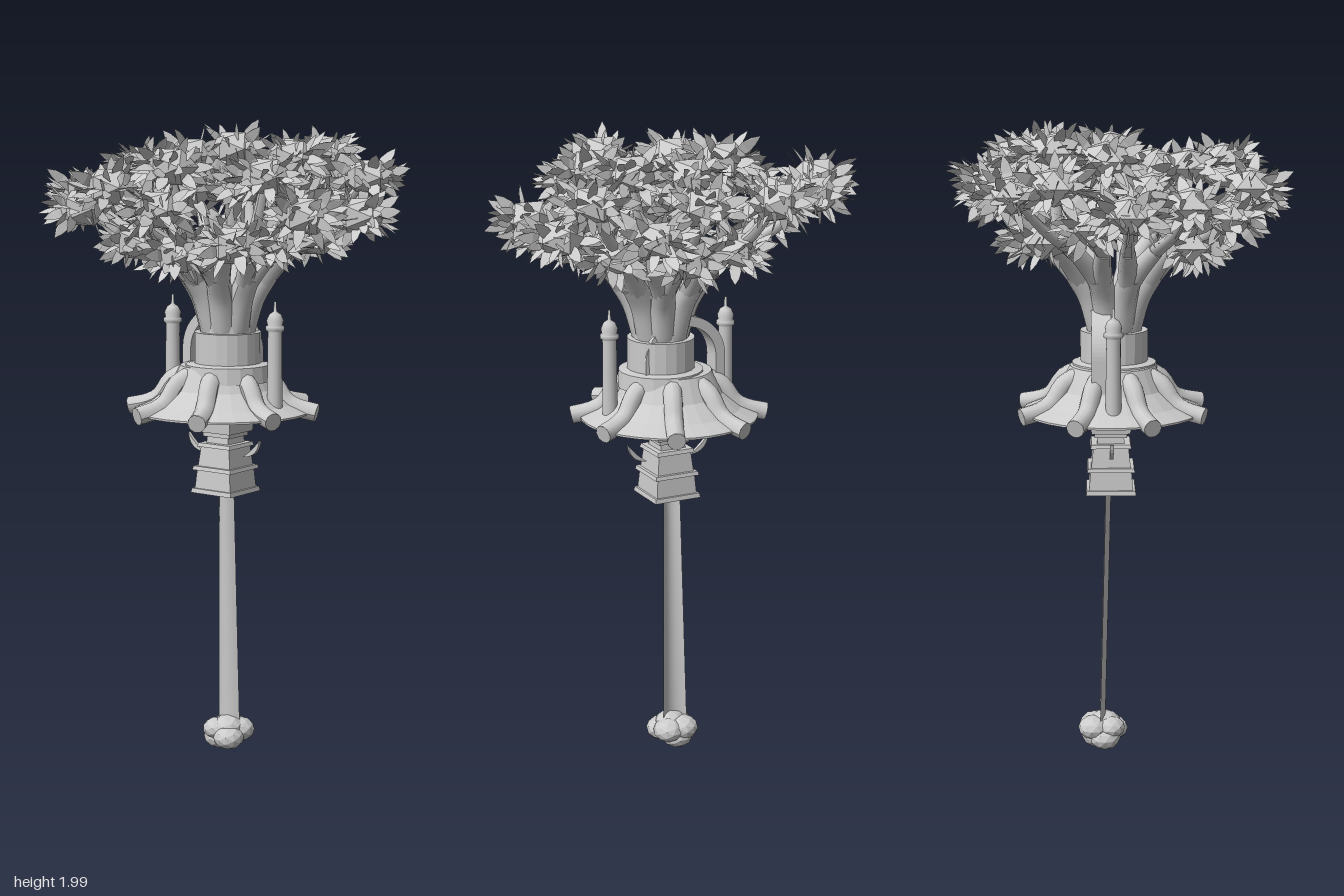
import * as THREE from 'three';
import { mergeGeometries } from 'three/addons/utils/BufferGeometryUtils.js';

const V = (x, y, z) => new THREE.Vector3(x, y, z);
const smooth = new THREE.MeshStandardMaterial({ color: 0xcccccc, side: THREE.DoubleSide });
const flat = new THREE.MeshStandardMaterial({ color: 0xcccccc, side: THREE.DoubleSide, flatShading: true });

let seed = 7;
const rand = (a, b) => {
  seed = (seed * 16807) % 2147483647;
  return a + (b - a) * seed / 2147483647;
};

function add(parent, name, geometry, material, x = 0, y = 0, z = 0) {
  const mesh = new THREE.Mesh(geometry, material);
  mesh.name = name;
  mesh.position.set(x, y, z);
  parent.add(mesh);
  return mesh;
}

// Tube along points whose radius runs from r0 to r1, with a closed far end
function taperedTube(points, r0, r1, segments = 10, sides = 10) {
  const curve = new THREE.CatmullRomCurve3(points);
  const tube = new THREE.TubeGeometry(curve, segments, 1, sides);
  const pos = tube.attributes.position, p = V(0, 0, 0);
  for (let i = 0; i < pos.count; i++) {
    const t = Math.floor(i / (sides + 1)) / segments;
    const c = curve.getPointAt(t);
    p.fromBufferAttribute(pos, i).sub(c).multiplyScalar(r0 + (r1 - r0) * t).add(c);
    pos.setXYZ(i, p.x, p.y, p.z);
  }
  tube.computeVertexNormals();
  const cap = new THREE.CircleGeometry(r1, sides);
  cap.lookAt(curve.getTangentAt(1));
  cap.translate(...curve.getPointAt(1).toArray());
  return mergeGeometries([tube, cap]);
}

const lathe = (pts, sides = 24) =>
  new THREE.LatheGeometry(pts.map(p => new THREE.Vector2(...p)), sides);

// Square block with different bottom and top widths
function block(w0, w1, h) {
  const g = new THREE.CylinderGeometry(w1 / Math.SQRT2, w0 / Math.SQRT2, h, 4);
  return g.rotateY(Math.PI / 4).translate(0, h / 2, 0);
}

// Pointed leaf growing along +y, folded a little down the middle
function leafGeometry() {
  const s = new THREE.Shape();
  s.moveTo(0, 0);
  [[0.012, 0.025], [0.0175, 0.052], [0.012, 0.08], [0, 0.104],
    [-0.012, 0.08], [-0.0175, 0.052], [-0.012, 0.025]].forEach(p => s.lineTo(...p));
  const g = new THREE.ShapeGeometry(s);
  const pos = g.attributes.position;
  for (let i = 0; i < pos.count; i++) pos.setZ(i, Math.abs(pos.getX(i)) * 0.3);
  return g.toNonIndexed();
}

// Faceted core with radiating leaves that lean away from the trunk
function foliage(leaf, outward) {
  const parts = [new THREE.IcosahedronGeometry(0.086, 0).scale(1, 0.7, 1)];
  const up = V(0, 1, 0);
  for (let i = 0; i < 42; i++) {
    const a = i * 2.39996 + rand(-0.3, 0.3);
    const h = 0.85 - 1.7 * (i + 0.5) / 42 + rand(-0.1, 0.1);
    const r = Math.sqrt(1 - h * h);
    const dir = V(Math.cos(a) * r, h, Math.sin(a) * r).addScaledVector(outward, 0.3).normalize();
    const size = rand(0.75, 1.08);
    const q = new THREE.Quaternion().setFromUnitVectors(up, dir)
      .multiply(new THREE.Quaternion().setFromAxisAngle(up, rand(0, 6.28)));
    const base = dir.clone().multiply(V(0.035, 0.008, 0.035));
    parts.push(leaf.clone().applyMatrix4(
      new THREE.Matrix4().compose(base, q, V(size, size, size))));
  }
  return mergeGeometries(parts);
}

export function createModel() {
  const model = new THREE.Group();
  model.name = 'floatingTree';
  const cx = 0.02, cz = -0.024;

  // Island skirt with a flat underside
  add(model, 'island', lathe([[0, 1.1], [0.275, 1.1], [0.275, 1.106], [0.22, 1.13],
    [0.165, 1.175], [0.14, 1.225], [0.13, 1.245], [0, 1.245]], 32), flat, -0.005, 0, -0.03);

  // Trunk with base and collar
  add(model, 'trunk', lathe([[0.135, 1.2], [0.13, 1.25], [0.104, 1.255], [0.104, 1.35],
    [0.085, 1.35], [0.082, 1.42], [0, 1.43]], 20), flat, cx, 0, cz);

  // Roots spreading over the skirt
  for (let i = 0; i < 8; i++) {
    const a = (i + 0.5) / 8 * Math.PI * 2, c = Math.cos(a), s = Math.sin(a);
    const at = (r, y) => V(r * c - 0.005, y, r * s - 0.03);
    add(model, 'root', taperedTube([at(0.12, 1.215), at(0.16, 1.195), at(0.2, 1.14),
      at(0.235, 1.12), at(0.3, 1.105)], 0.03, 0.028), smooth);
  }

  // Minarets on either side
  for (const x of [-0.2, 0.195]) {
    add(model, 'minaret', lathe([[0.024, 1.11], [0.022, 1.36], [0.029, 1.365], [0.029, 1.376],
      [0.023, 1.38], [0.026, 1.395], [0.018, 1.413], [0.005, 1.422], [0.004, 1.45], [0, 1.452]],
      14), smooth, x, 0, -0.03);
  }

  // Arch behind the trunk
  const arch = new THREE.Shape();
  arch.moveTo(0.135, -0.1);
  arch.lineTo(0.135, 0);
  arch.absarc(0, 0, 0.135, 0, Math.PI, false);
  arch.lineTo(-0.135, -0.1);
  arch.lineTo(-0.103, -0.1);
  arch.lineTo(-0.103, 0);
  arch.absarc(0, 0, 0.103, Math.PI, 0, true);
  arch.lineTo(0.103, -0.1);
  add(model, 'arch', new THREE.ExtrudeGeometry(arch,
    { depth: 0.06, bevelEnabled: false, curveSegments: 16 }), flat, -0.03, 1.285, -0.095);

  // Hanging tower: [bottom y, height, bottom width, top width]
  const tower = new THREE.Group();
  tower.name = 'hangingTower';
  tower.position.set(0.004, 0, -0.035);
  model.add(tower);
  [[0.845, 0.014, 0.155, 0.15], [0.859, 0.06, 0.136, 0.126], [0.917, 0.012, 0.148, 0.142],
    [0.929, 0.065, 0.122, 0.108], [0.99, 0.012, 0.127, 0.12], [1.0, 0.025, 0.085, 0.08],
    [1.022, 0.014, 0.1, 0.1], [1.036, 0.065, 0.12, 0.13]]
    .forEach(([y, h, w0, w1]) => add(tower, 'towerTier', block(w0, w1, h), flat, 0, y, 0));

  // Thin crescents floating beside the tower
  for (const side of [-1, 1]) {
    const s = new THREE.Shape();
    s.moveTo(0.138 * side, 1.02);
    s.quadraticCurveTo(0.132 * side, 0.965, 0.075 * side, 0.963);
    s.quadraticCurveTo(0.11 * side, 0.985, 0.138 * side, 1.02);
    add(model, 'crescent', new THREE.ExtrudeGeometry(s,
      { depth: 0.012, bevelEnabled: false, curveSegments: 8 }), flat, 0, 0, -0.04);
  }

  // Waterfall: a shallow curved ribbon that widens downwards
  const fall = new THREE.PlaneGeometry(1, 1, 8, 8), pos = fall.attributes.position;
  for (let i = 0; i < pos.count; i++) {
    const u = pos.getX(i) * 2, t = 0.5 - pos.getY(i);
    pos.setXYZ(i, -0.004 - 0.004 * t + u * (0.029 + 0.013 * t), 0.85 - 0.79 * t,
      -0.034 - 0.02 * t - 0.017 * u * u);
  }
  fall.computeVertexNormals();
  add(model, 'waterfall', fall, smooth);

  // Splash of faceted foam lumps
  [[-0.035, 0.038, -0.055, 0.05], [0.02, 0.05, -0.03, 0.05], [0.022, 0.065, -0.085, 0.05],
    [-0.025, 0.068, -0.09, 0.05], [0, 0.075, -0.055, 0.052], [-0.01, 0.038, -0.08, 0.05],
    [-0.03, 0.07, -0.035, 0.045]].forEach(([x, y, z, r], i) => {
    const foam = add(model, 'foam', new THREE.IcosahedronGeometry(r, 1), flat, x, y, z);
    foam.scale.y = 0.76;
    foam.rotation.y = i;
  });

  // Foliage centres: outer ring, crown, then lower tufts
  const tufts = [
    [-0.18, 1.8, -0.375], [-0.33, 1.8, -0.32], [-0.41, 1.83, -0.2], [-0.41, 1.75, 0.01],
    [-0.37, 1.77, 0.19], [-0.28, 1.73, 0.3], [-0.11, 1.8, 0.375], [0.06, 1.86, 0.31],
    [0.08, 1.74, 0.39], [0.28, 1.64, 0.29], [0.39, 1.72, 0.1], [0.41, 1.71, -0.16],
    [0.36, 1.82, -0.28], [0.2, 1.72, -0.36], [0.07, 1.81, -0.4],
    [0.07, 1.88, -0.3], [-0.09, 1.9, -0.2], [-0.14, 1.88, -0.05], [-0.13, 1.86, 0.19],
    [-0.05, 1.78, 0.09], [0.25, 1.88, -0.03], [0.22, 1.89, -0.24], [0.18, 1.75, -0.14],
    [0.25, 1.83, 0.1], [-0.29, 1.7, -0.09], [0, 1.78, -0.09], [0.14, 1.8, 0.03],
    [0.02, 1.6, 0.23], [-0.16, 1.63, 0.2], [0.26, 1.63, 0.08], [0.05, 1.63, -0.27],
    [-0.12, 1.64, -0.24], [0.24, 1.64, -0.16]];
  const leaf = leafGeometry();
  tufts.forEach(([x, y, z]) =>
    add(model, 'foliage', foliage(leaf, V(x, -0.05, z).normalize()), flat, x, y, z));

  // Stout limbs fanning out of the trunk, each forking in two
  const tips = [];
  const at = (a, r, y) => V(cx + r * Math.cos(a), y, cz + r * Math.sin(a));
  for (let i = 0; i < 8; i++) {
    const a = (i + 0.5) / 8 * Math.PI * 2;
    add(model, 'limb', taperedTube([at(a, 0.045, 1.36), at(a, 0.08, 1.46), at(a, 0.125, 1.53)],
      0.044, 0.036), smooth);
    for (const turn of [-0.22, 0.22]) {
      const tip = at(a + turn, 0.21, 1.615);
      tips.push(tip);
      add(model, 'fork', taperedTube([at(a, 0.105, 1.5), at(a + turn * 0.6, 0.15, 1.555), tip],
        0.034, 0.024), smooth);
    }
  }

  // Twigs from the nearest fork to each tuft
  tufts.forEach(t => {
    const end = V(...t);
    const start = tips.reduce((b, p) => (p.distanceTo(end) < b.distanceTo(end) ? p : b));
    const mid = start.clone().lerp(end, 0.5).add(V(0, -0.02, 0));
    add(model, 'twig', taperedTube([start, mid, end], 0.022, 0.011, 6, 6), smooth);
  });

  return model;
}
